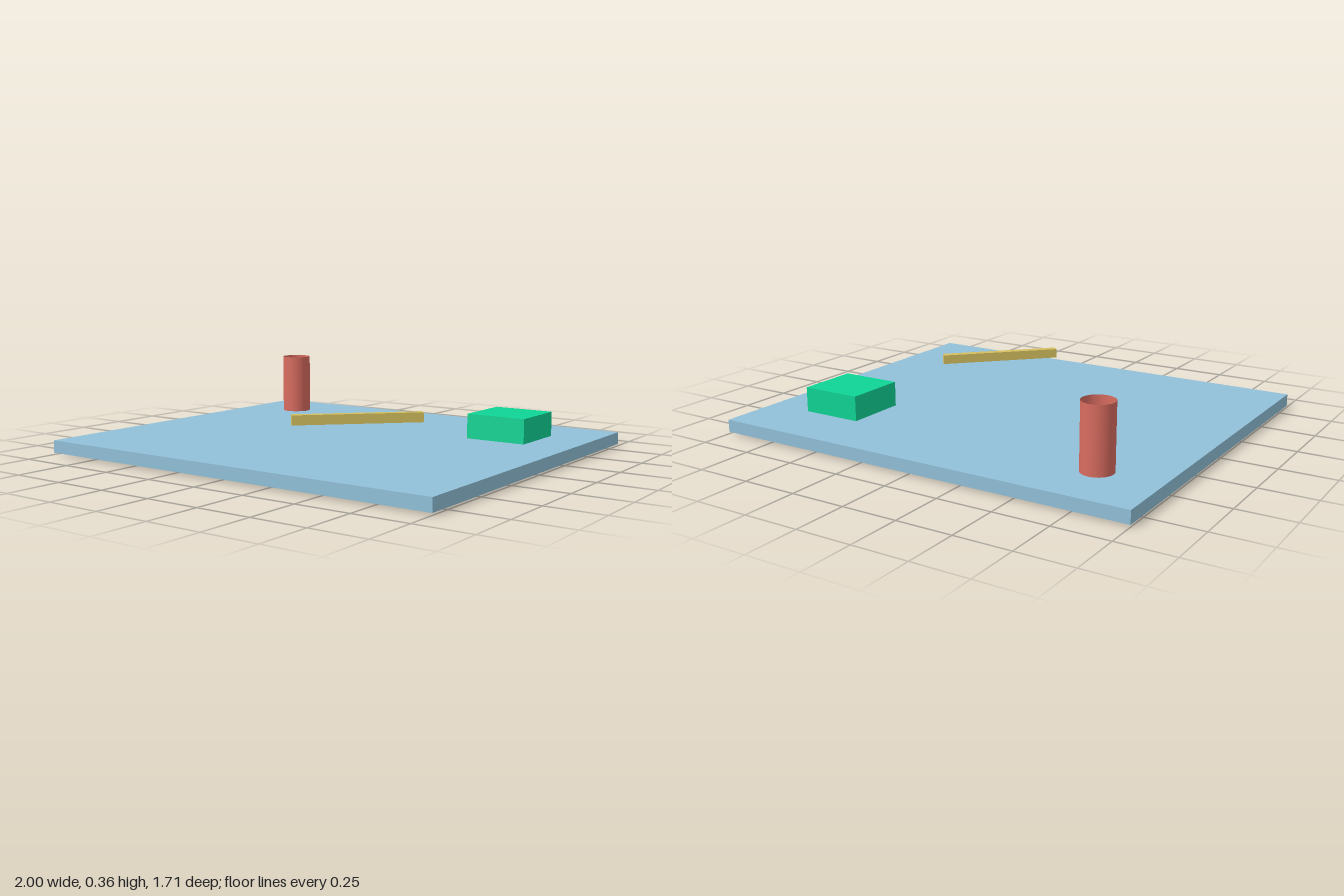
import * as THREE from 'three';

export function createModel() {
  const model = new THREE.Group();

  const add = (name, geometry, color, x, y, z, side = THREE.FrontSide) => {
    const mesh = new THREE.Mesh(geometry, new THREE.MeshStandardMaterial({ color, side }));
    mesh.name = name;
    mesh.position.set(x, y, z);
    model.add(mesh);
    return mesh;
  };

  // Flat base slab
  add('floorSlab', new THREE.BoxGeometry(2, 0.057, 1.714), 0x91c0d9, 0, 0.037, 0);

  // Open-ended thin tube passing just through the slab
  add('openTube', new THREE.CylinderGeometry(0.0714, 0.0714, 0.357, 32, 1, true), 0xd96c60,
    -0.714, 0.1785, -0.571, THREE.DoubleSide);

  // Square block resting on the slab
  add('block', new THREE.BoxGeometry(0.286, 0.114, 0.286), 0x0fd495, 0.643, 0.1225, -0.429);

  // Slim bar floating diagonally above the slab
  const bar = add('floatingBar', new THREE.BoxGeometry(0.571, 0.043, 0.036), 0xd4c060, 0.286, 0.21, 0.286);
  bar.rotation.y = Math.PI / 4;

  return model;
}
